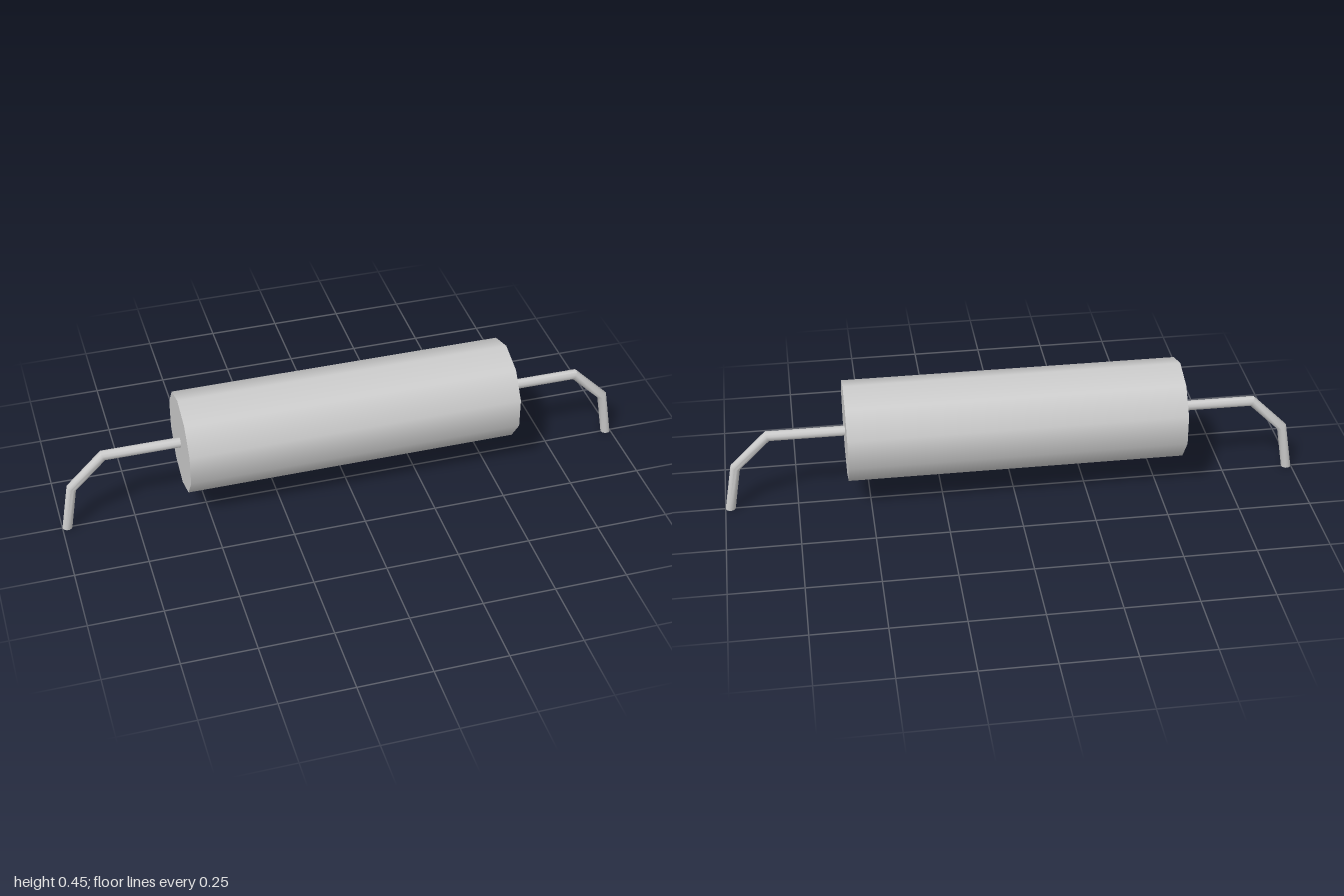
import * as THREE from 'three';
import { toCreasedNormals } from 'three/addons/utils/BufferGeometryUtils.js';

const SIDES = 10;
const AXIS_Y = 0.279;
const BODY_RADIUS = 0.172;
const BODY_LENGTH = 1.154;
const WIRE_RADIUS = 0.0172;

// Mitred rings along the bent wire: centre x, y and offset x, y to the outer side
const RINGS = [
  [0.57, AXIS_Y, 0, 0.0172],
  [0.84, AXIS_Y, 0.007, 0.0172],
  [0.955, 0.165, 0.0155, 0.0085],
  [0.9828, 0, 0.0172, 0],
];

// Sweeps a ten-sided section through the rings and closes the foot
function wireGeometry() {
  const positions = [];
  const index = [];
  for (const [cx, cy, ox, oy] of RINGS) {
    for (let j = 0; j < SIDES; j++) {
      const a = (j / SIDES) * Math.PI * 2;
      const c = Math.cos(a);
      positions.push(cx + ox * c, cy + oy * c, WIRE_RADIUS * Math.sin(a));
    }
  }
  const last = RINGS.length - 1;
  for (let i = 0; i < last; i++) {
    for (let j = 0; j < SIDES; j++) {
      const a = i * SIDES + j;
      const b = i * SIDES + ((j + 1) % SIDES);
      index.push(a, b, b + SIDES, a, b + SIDES, a + SIDES);
    }
  }
  for (let j = 1; j < SIDES - 1; j++) {
    index.push(last * SIDES, last * SIDES + j, last * SIDES + j + 1);
  }
  const geometry = new THREE.BufferGeometry();
  geometry.setAttribute('position', new THREE.Float32BufferAttribute(positions, 3));
  geometry.setIndex(index);
  return toCreasedNormals(geometry, 0.66);
}

export function createModel() {
  const model = new THREE.Group();
  model.name = 'axialComponent';
  const material = new THREE.MeshStandardMaterial({ color: 0xcccccc });

  // Cylindrical body lying along x, with a corner at the top
  const bodyGeometry = new THREE.CylinderGeometry(
    BODY_RADIUS, BODY_RADIUS, BODY_LENGTH, SIDES, 1, false, Math.PI / 2);
  bodyGeometry.rotateZ(Math.PI / 2);
  const body = new THREE.Mesh(bodyGeometry, material);
  body.name = 'body';
  body.position.y = AXIS_Y;
  model.add(body);

  // Bent wire leads at both ends
  const leadGeometry = wireGeometry();
  for (const [name, turn] of [['leftLead', 0], ['rightLead', Math.PI]]) {
    const lead = new THREE.Mesh(leadGeometry, material);
    lead.name = name;
    lead.rotation.y = turn;
    model.add(lead);
  }
  return model;
}
